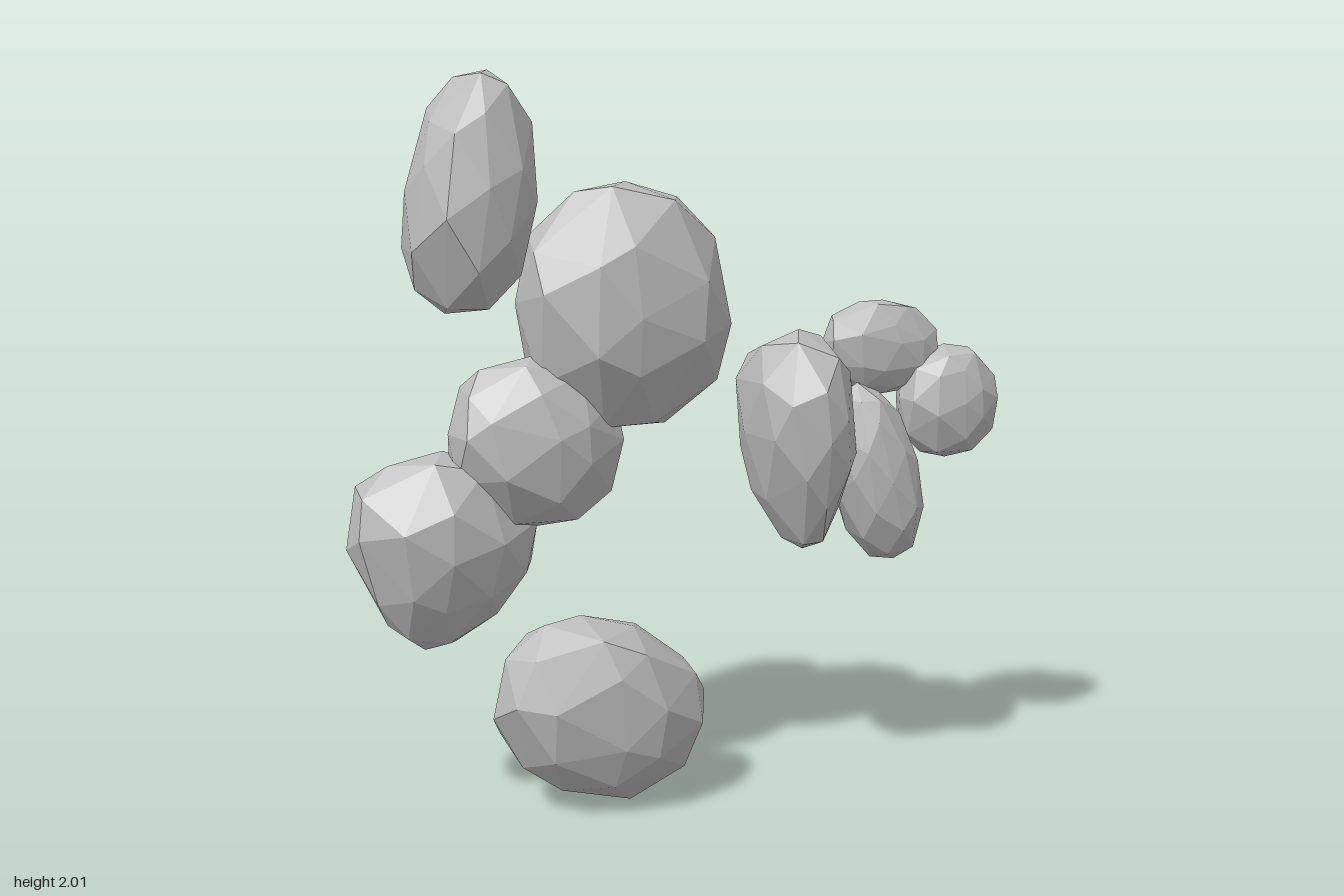
import * as THREE from 'three';
import { ConvexGeometry } from 'three/addons/geometries/ConvexGeometry.js';
import { mergeVertices } from 'three/addons/utils/BufferGeometryUtils.js';

// Boulders: centre, half sizes, tilt and lean in degrees, taper (positive is wider at the top),
// fullness (2 is an ellipsoid, more is squarer)
const ROCKS = [
  { name: 'tallUpperRock', at: [-0.59, 1.68, -0.045], size: [0.168, 0.325, 0.215], tilt: -8, taper: -0.08 },
  { name: 'largeCentralRock', at: [-0.182, 1.38, -0.01], size: [0.288, 0.33, 0.22], fullness: 2.5 },
  { name: 'middleRock', at: [-0.43, 1.025, -0.02], size: [0.24, 0.235, 0.175] },
  { name: 'lowerSideRock', at: [-0.685, 0.735, -0.055], size: [0.25, 0.268, 0.18], tilt: -8, taper: 0.28, fullness: 2.1 },
  { name: 'bottomRock', at: [-0.26, 0.27, 0], size: [0.25, 0.315, 0.19], tilt: 63, lean: 10 },
  { name: 'uprightRock', at: [0.31, 1, 0.055], size: [0.148, 0.315, 0.205], tilt: 3, taper: 0.25 },
  { name: 'slantedRock', at: [0.54, 0.9, 0.075], size: [0.125, 0.265, 0.125], tilt: 14, taper: -0.05 },
  { name: 'flatSmallRock', at: [0.575, 1.255, 0.04], size: [0.185, 0.135, 0.08], tilt: -5 },
  { name: 'outerSmallRock', at: [0.775, 1.095, 0.07], size: [0.153, 0.165, 0.11] },
];

// Small seeded generator returning values from -1 to 1
function seeded(seed) {
  let s = seed;
  return () => {
    s = (s * 16807) % 2147483647;
    return (s / 2147483647) * 2 - 1;
  };
}

// Evenly spread directions shared by every boulder
function sphereDirections() {
  const ball = new THREE.IcosahedronGeometry(1, 1);
  ball.deleteAttribute('normal');
  ball.deleteAttribute('uv');
  const pos = mergeVertices(ball, 1e-3).attributes.position;
  return Array.from({ length: pos.count }, (_, i) => new THREE.Vector3().fromBufferAttribute(pos, i));
}

// Faceted hull of a slightly squared, unevenly chipped ellipsoid
function rockGeometry({ size, taper = 0, fullness = 2.3 }, directions, random) {
  const points = directions.map((direction) => {
    const p = direction.clone();
    p.x += random() * 0.13;
    p.y += random() * 0.13;
    p.z += random() * 0.13;
    const norm = (Math.abs(p.x) ** fullness + Math.abs(p.y) ** fullness + Math.abs(p.z) ** fullness) ** (1 / fullness);
    p.multiplyScalar((1 + random() * 0.025) / norm);
    const width = 1 + taper * p.y;
    return new THREE.Vector3(p.x * size[0] * width, p.y * size[1], p.z * size[2] * width);
  });
  return new ConvexGeometry(points);
}

export function createModel() {
  const group = new THREE.Group();
  group.name = 'rockCluster';
  const stone = new THREE.MeshStandardMaterial({ color: 0xbcbcbc, flatShading: true });
  stone.name = 'stoneGrey';
  const directions = sphereDirections();
  ROCKS.forEach((rock, i) => {
    const { tilt = 0, lean = 0 } = rock;
    const mesh = new THREE.Mesh(rockGeometry(rock, directions, seeded(7919 * (i + 1))), stone);
    mesh.name = rock.name;
    mesh.position.set(...rock.at);
    mesh.rotation.set(THREE.MathUtils.degToRad(lean), 0, THREE.MathUtils.degToRad(tilt));
    group.add(mesh);
  });
  return group;
}
